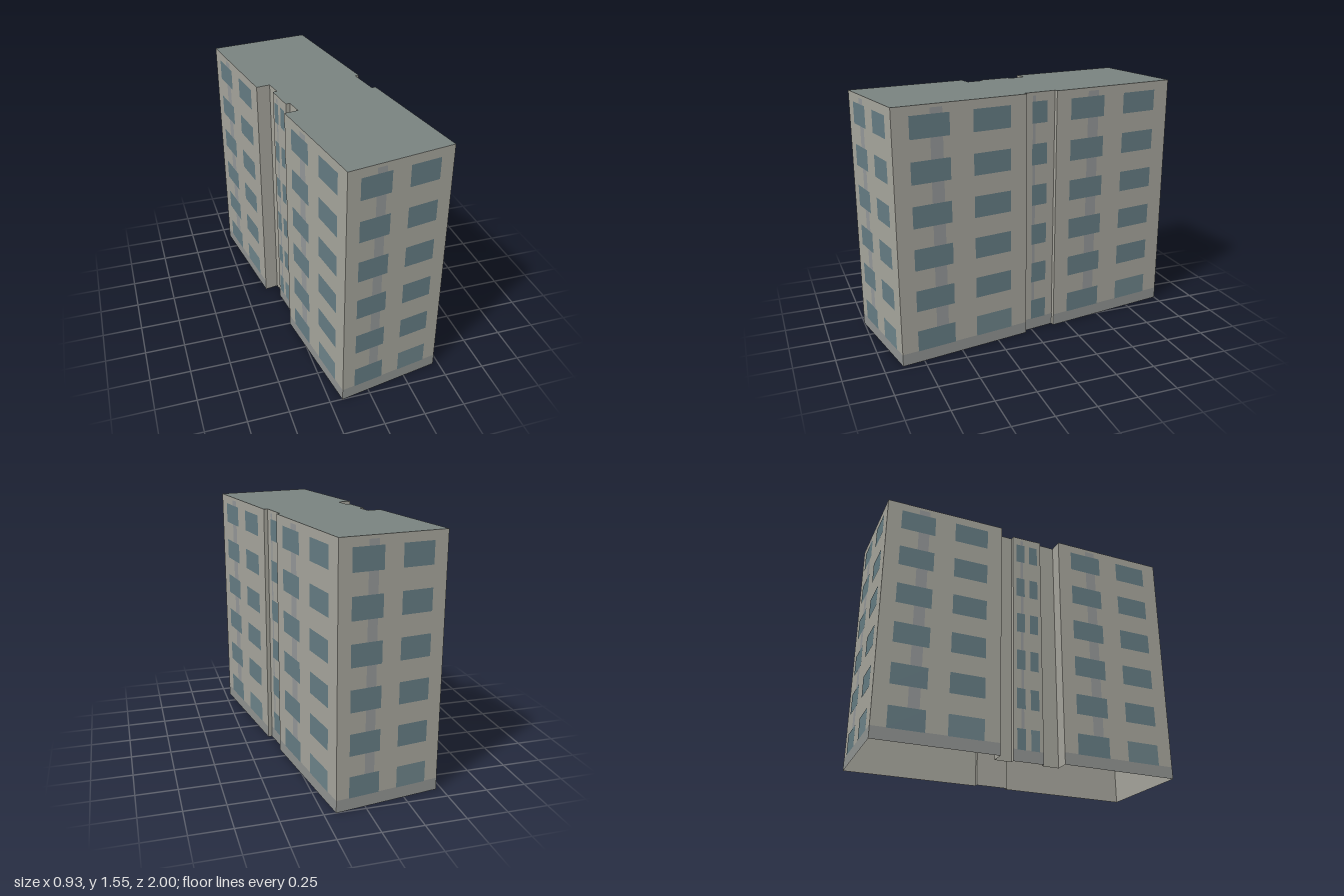
import * as THREE from 'three';

const HEIGHT = 1.55, PLINTH = 0.075, FLOORS = 6, PITCH = 0.258, WINDOW_H = 0.132;

// Footprint corners [x, z, window columns on the wall that starts here],
// walked so that each wall runs left to right when seen from outside.
const FOOTPRINT = [
  [-0.172, 1.0, 2], [0.466, 0.885, 2], [0.337, 0.05, 0], [0.312, 0.055, 1],
  [0.28, -0.153, 0], [0.304, -0.157, 2], [0.178, -1.0, 2], [-0.466, -0.907, 2],
  [-0.355, -0.157, 0], [-0.27, -0.171, 0], [-0.252, -0.064, 0], [-0.278, -0.06, 2],
  [-0.25, 0.134, 0], [-0.224, 0.13, 0], [-0.206, 0.238, 0], [-0.29, 0.252, 0],
];
FOOTPRINT[15][2] = 2;

// Window spans as fractions of the wall length
const SPANS = { 0: [], 1: [[0.25, 0.75]], 2: [[0.12, 0.408], [0.582, 0.87]] };

const paint = (color, side = THREE.FrontSide) =>
  new THREE.MeshStandardMaterial({ color, side });

export function createModel() {
  const wallMat = paint(0xa5a49b, THREE.DoubleSide);
  const roofMat = paint(0x79827f, THREE.DoubleSide);
  const plinthMat = paint(0x8f9290);
  const stripMat = paint(0x939697);
  const glassMat = paint(0x647b82);
  const lowGlassMat = paint(0x6c8288);

  const building = new THREE.Group();
  building.name = 'apartmentBlock';

  // Flat rectangle on a wall, in the wall's own x (along) and y (up)
  function panel(wall, name, x0, x1, y0, y1, lift, material) {
    const mesh = new THREE.Mesh(new THREE.PlaneGeometry(x1 - x0, y1 - y0), material);
    mesh.name = name;
    mesh.position.set((x0 + x1) / 2, (y0 + y1) / 2, lift);
    wall.add(mesh);
  }

  // Walls, each with plinth, vertical strip and windows
  FOOTPRINT.forEach(([x, z, columns], i) => {
    const [nx, nz] = FOOTPRINT[(i + 1) % FOOTPRINT.length];
    const length = Math.hypot(nx - x, nz - z);
    const wall = new THREE.Group();
    wall.name = columns ? 'windowWall' : 'returnWall';
    wall.position.set(x, 0, z);
    wall.rotation.y = Math.atan2(z - nz, nx - x);
    panel(wall, 'wallSurface', 0, length, 0, HEIGHT, 0, wallMat);
    if (columns) {
      panel(wall, 'plinth', 0, length, 0, PLINTH, 0.001, plinthMat);
      panel(wall, 'verticalStrip', 0.267 * length, 0.358 * length, PLINTH, 1.53, 0.001, stripMat);
    }
    SPANS[columns].forEach(([from, to], column) => {
      for (let floor = 0; floor < FLOORS; floor++) {
        const y = PLINTH + floor * PITCH - 0.002;
        const glass = floor === 0 && column === 1 ? lowGlassMat : glassMat;
        panel(wall, 'window', from * length, to * length, y, y + WINDOW_H, 0.002, glass);
      }
    });
    building.add(wall);
  });

  // Flat roof following the footprint
  const outline = new THREE.Shape(FOOTPRINT.map(([x, z]) => new THREE.Vector2(x, -z)));
  const roof = new THREE.Mesh(new THREE.ShapeGeometry(outline).rotateX(-Math.PI / 2), roofMat);
  roof.name = 'roof';
  roof.position.y = HEIGHT;
  building.add(roof);

  return building;
}
